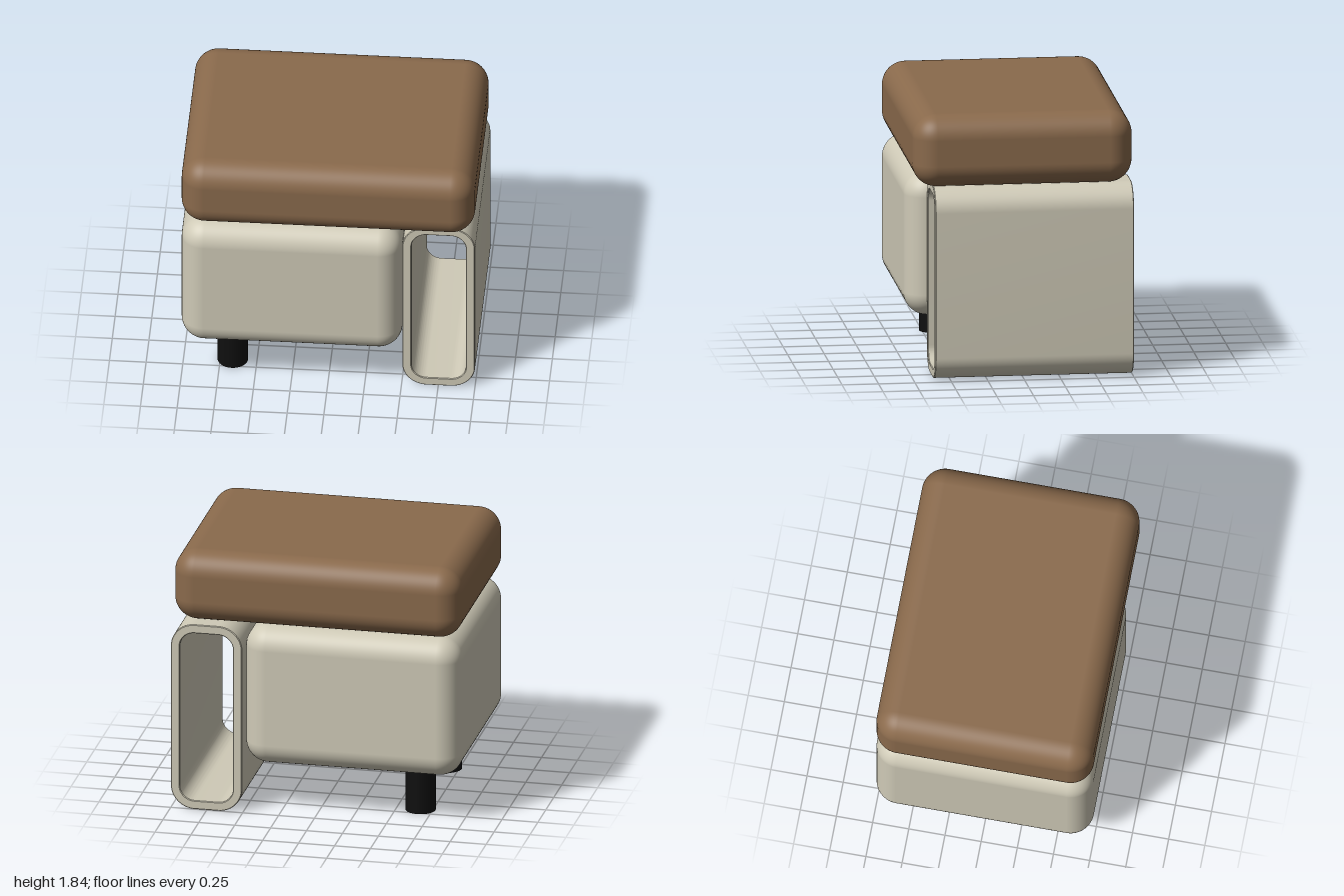
import * as THREE from 'three';
import { RoundedBoxGeometry } from 'three/addons/geometries/RoundedBoxGeometry.js';
import { toCreasedNormals } from 'three/addons/utils/BufferGeometryUtils.js';

// Rounded rectangle traced counter-clockwise
function roundedRect(path, x0, y0, x1, y1, r) {
  path.moveTo(x0 + r, y0);
  path.lineTo(x1 - r, y0);
  path.absarc(x1 - r, y0 + r, r, -Math.PI / 2, 0, false);
  path.lineTo(x1, y1 - r);
  path.absarc(x1 - r, y1 - r, r, 0, Math.PI / 2, false);
  path.lineTo(x0 + r, y1);
  path.absarc(x0 + r, y1 - r, r, Math.PI / 2, Math.PI, false);
  path.lineTo(x0, y0 + r);
  path.absarc(x0 + r, y0 + r, r, Math.PI, Math.PI * 1.5, false);
  return path;
}

export function createModel() {
  const group = new THREE.Group();
  const brown = new THREE.MeshStandardMaterial({ color: 0x8a6a4c });
  const cream = new THREE.MeshStandardMaterial({ color: 0xcfcab7 });
  const black = new THREE.MeshStandardMaterial({ color: 0x0f0f0f });
  brown.name = 'brown cushion';
  cream.name = 'cream body';
  black.name = 'black leg';

  const add = (name, geometry, material, x, y, z) => {
    const mesh = new THREE.Mesh(geometry, material);
    mesh.name = name;
    mesh.position.set(x, y, z);
    group.add(mesh);
  };

  // Soft seat cushion and the block beneath it
  add('cushion', new RoundedBoxGeometry(2, 0.5, 1.5, 8, 0.16), brown, 0, 1.585, 0);
  add('body', new RoundedBoxGeometry(1.505, 1, 1.5, 8, 0.16), cream, -0.2475, 0.835, 0);

  // Open-ended hollow side support with slightly eased edges
  const outline = roundedRect(new THREE.Shape(), 0.505, 0, 1, 1.335, 0.165);
  outline.holes.push(roundedRect(new THREE.Path(), 0.567, 0.062, 0.938, 1.273, 0.103));
  const bevel = 0.005;
  const tube = new THREE.ExtrudeGeometry(outline, {
    depth: 1.36 - 2 * bevel, curveSegments: 12, bevelEnabled: true,
    bevelSize: bevel, bevelThickness: bevel, bevelOffset: -bevel, bevelSegments: 1,
  });
  add('sideSupport', toCreasedNormals(tube, 0.5), cream, 0, 0, -0.75 + bevel);

  // Round legs under the far end
  for (const z of [0.415, -0.415]) {
    add(z > 0 ? 'frontLeg' : 'backLeg', new THREE.CylinderGeometry(0.104, 0.104, 0.34, 32), black, -0.665, 0.17, z);
  }
  return group;
}
